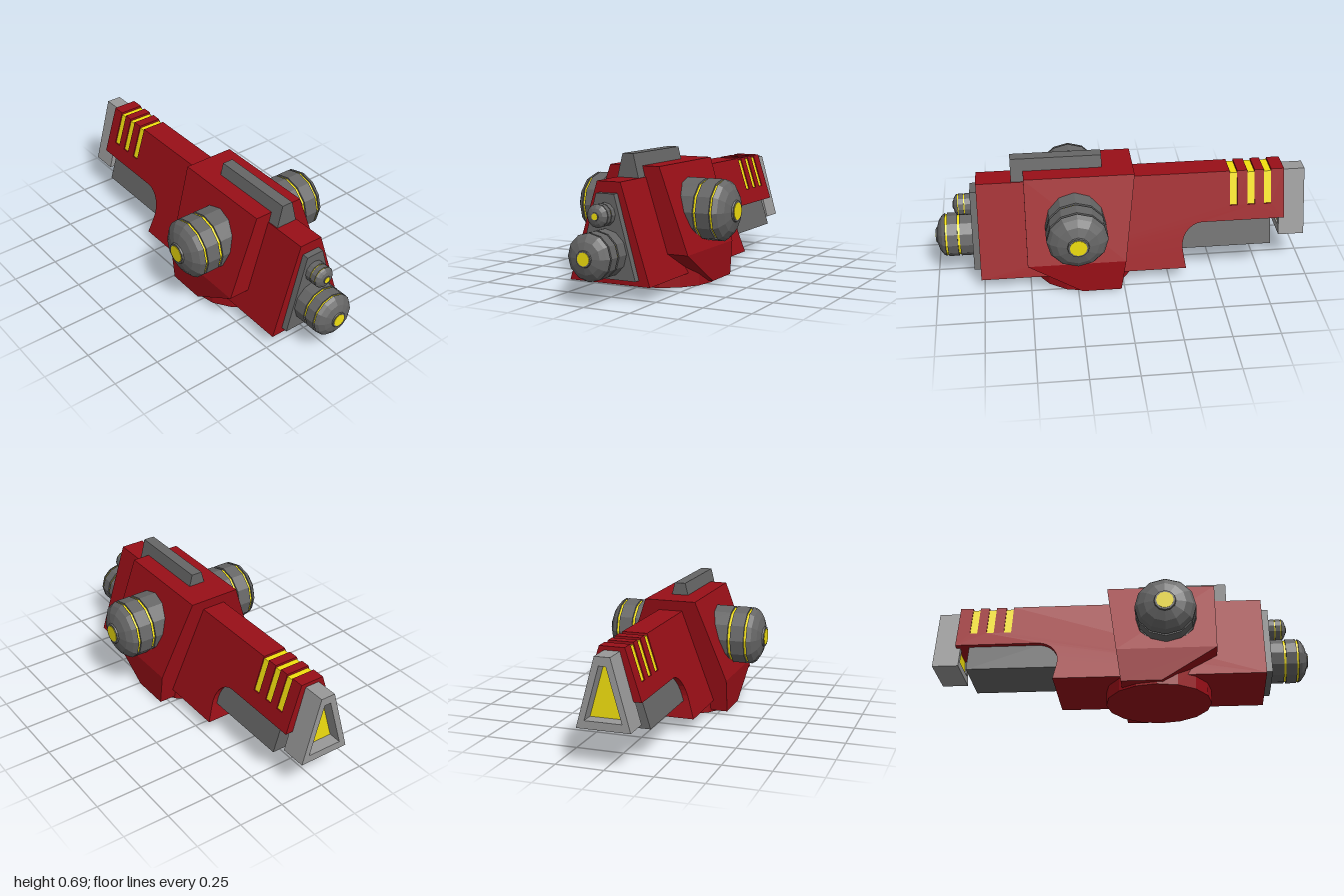
import * as THREE from 'three';

const paint = (color) => new THREE.MeshStandardMaterial({ color, flatShading: true });

export function createModel() {
  const red = paint(0x990f17), grey = paint(0x666666), pale = paint(0x999999), yellow = paint(0xf2e00f);
  const model = new THREE.Group();

  const add = (parent, name, geometry, material) => {
    const mesh = new THREE.Mesh(geometry, material);
    mesh.name = name;
    parent.add(mesh);
    return mesh;
  };
  const toShape = (pts) => new THREE.Shape(pts.map(([x, y]) => new THREE.Vector2(x, y)));

  // Side profile (x, y) widened to both sides by halfWidth(y)
  const taper = (shape, halfWidth) => {
    const g = new THREE.ExtrudeGeometry(shape, { depth: 2, bevelEnabled: false, curveSegments: 8 });
    g.translate(0, 0, -1);
    const p = g.attributes.position;
    for (let i = 0; i < p.count; i++) p.setZ(i, p.getZ(i) * halfWidth(p.getY(i)));
    g.computeVertexNormals();
    return g;
  };

  // Trapezoid cross-section running along x, optionally with a trapezoid hole
  const trapezoid = (y0, w0, y1, w1) => [[-w0, y0], [w0, y0], [w1, y1], [-w1, y1]];
  const prism = (x0, x1, section, hole) => {
    const shape = toShape(section);
    if (hole) shape.holes.push(toShape(hole));
    const g = new THREE.ExtrudeGeometry(shape, { depth: x1 - x0, bevelEnabled: false });
    return g.rotateY(Math.PI / 2).translate(x0, 0, 0);
  };

  // Main body and barrel, with a scooped underside and stripe grooves
  const bodyWidth = (y) => 0.225 - (y - 0.07) * 0.32;
  const stripes = [[-0.81, -0.77], [-0.72, -0.68], [-0.625, -0.585]];
  const body = new THREE.Shape();
  body.moveTo(-0.34, 0.07);
  body.lineTo(0.765, 0.07);
  body.lineTo(0.765, 0.57);
  for (const [a, b] of [...stripes].reverse()) {
    body.lineTo(b, 0.57);
    body.lineTo(b, 0.39);
    body.lineTo(a, 0.39);
    body.lineTo(a, 0.57);
  }
  body.lineTo(-0.88, 0.57);
  body.lineTo(-0.88, 0.31);
  body.lineTo(-0.43, 0.31);
  body.bezierCurveTo(-0.36, 0.305, -0.31, 0.24, -0.325, 0.16);
  body.lineTo(-0.34, 0.07);
  add(model, 'mainBody', taper(body, bodyWidth), red);
  for (const [a, b] of stripes) {
    const bar = toShape([[a, 0.385], [b, 0.385], [b, 0.558], [a, 0.558]]);
    add(model, 'barrelStripe', taper(bar, (y) => bodyWidth(y) - 0.006), yellow);
  }

  // Central housing: sloped upper half, straight lower half
  const upper = toShape([[-0.005, 0.19], [0.515, 0.19], [0.515, 0.625], [-0.065, 0.625]]);
  add(model, 'housingUpper', taper(upper, (y) => 0.3 - (y - 0.19) * 0.368), red);
  const lower = toShape([[0.02, 0.012], [0.23, 0.012], [0.515, 0.19], [-0.005, 0.19]]);
  add(model, 'housingLower', taper(lower, () => 0.3), red);

  // Round foot
  const foot = new THREE.CylinderGeometry(0.28, 0.28, 0.15, 16);
  add(model, 'foot', foot, red).position.set(0.203, 0.075, 0);

  // Grey inserts
  add(model, 'topFin', prism(0.1, 0.58, trapezoid(0.57, 0.06, 0.69, 0.03)), grey);
  add(model, 'underBarrel', prism(-0.81, -0.2, trapezoid(0.16, 0.165, 0.4, 0.09)), grey);
  add(model, 'endPlate', prism(0.75, 0.8, trapezoid(0.1, 0.165, 0.515, 0.05)), grey);

  // Hollow muzzle with a yellow back wall
  const opening = trapezoid(0.235, 0.095, 0.505, 0.018);
  add(model, 'muzzle', prism(-1, -0.86, trapezoid(0.195, 0.138, 0.55, 0.04), opening), pale);
  add(model, 'muzzleCore', prism(-0.93, -0.87, opening), yellow);

  // Domed pod pointing up its own y axis, tip at the origin
  const pod = (name, radius, length) => {
    const group = new THREE.Group();
    group.name = name;
    const profile = [[0, -length], [1, -length], [1, -1.11], [0.92, -1.11], [0.92, -1.01], [1, -1.01],
      [1, -0.54], [0.92, -0.54], [0.92, -0.45], [1, -0.45], [0.9, -0.3], [0.68, -0.15],
      [0.36, -0.05], [0.34, 0], [0, 0]].map(([r, y]) => new THREE.Vector2(r, y));
    add(group, 'podShell', new THREE.LatheGeometry(profile, 12), grey);
    for (const y of [-1.06, -0.495]) {
      add(group, 'podBand', new THREE.CylinderGeometry(0.94, 0.94, 0.095, 12), yellow).position.y = y;
    }
    add(group, 'podLens', new THREE.CylinderGeometry(0.28, 0.28, 0.03, 12), yellow);
    group.scale.setScalar(radius);
    model.add(group);
    return group;
  };

  // Side pods
  for (const side of [1, -1]) {
    const p = pod(side > 0 ? 'frontPod' : 'backPod', 0.16, 2.2);
    p.rotation.x = side * Math.PI / 2;
    p.position.set(0.255, 0.39, side * 0.448);
  }
  // End pods
  for (const [name, radius, length, x, y] of [['largeEndPod', 0.118, 1.75, 0.998, 0.228],
    ['smallEndPod', 0.058, 1.75, 0.895, 0.415]]) {
    const p = pod(name, radius, length);
    p.rotation.z = -Math.PI / 2;
    p.position.set(x, y, 0);
  }

  return model;
}
